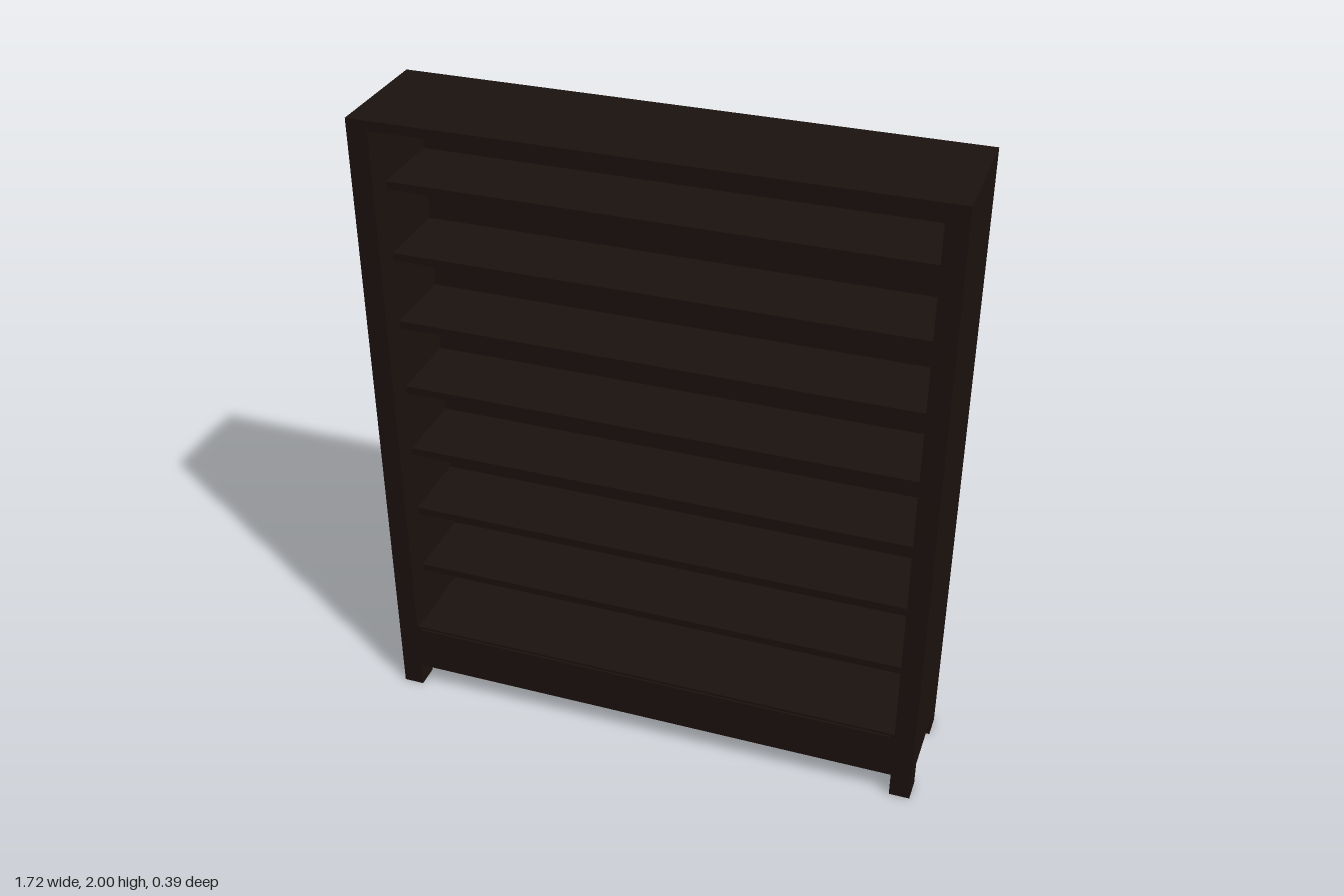
import * as THREE from 'three';

export function createModel() {
  const model = new THREE.Group();
  const cabinet = new THREE.Group();
  cabinet.name = 'shelfCabinet';
  const wood = new THREE.MeshStandardMaterial({ color: 0x1b120e });

  // Box given by its lower and upper limits on each axis
  const box = (name, [x0, x1], [y0, y1], [z0, z1]) => {
    const mesh = new THREE.Mesh(new THREE.BoxGeometry(x1 - x0, y1 - y0, z1 - z0), wood);
    mesh.position.set((x0 + x1) / 2, (y0 + y1) / 2, (z0 + z1) / 2);
    mesh.name = name;
    cabinet.add(mesh);
  };

  const W = 0.857, inner = 0.793, back = -0.191, front = 0.187;
  const base = 0.08, backFace = -0.135;

  // Sides and the four short legs below them
  for (const s of [-1, 1]) {
    const span = s > 0 ? [inner, W] : [-W, -inner];
    const side = s > 0 ? 'left' : 'right';
    box(side + 'Side', span, [base, 2], [back, front]);
    box(side + 'FrontLeg', span, [0, base], [front - 0.073, front]);
    box(side + 'BackLeg', span, [0, base], [back, back + 0.073]);
  }

  // Carcass panels
  box('topPanel', [-inner, inner], [1.97, 2], [back, front]);
  box('backPanel', [-inner, inner], [base, 1.97], [back, backFace]);
  box('base', [-inner, inner], [base, 0.235], [backFace, 0.172]);

  // Plinth board standing slightly proud of the front
  box('plinthRail', [-inner, inner], [base, 0.245], [0.172, front]);
  box('plinthBoard', [-0.78, 0.78], [0.1, 0.237], [front, 0.193]);

  // Seven set-back shelves
  for (let i = 0; i < 7; i++) {
    const top = 0.443 + i * 0.2243;
    box('shelf' + (i + 1), [-inner, inner], [top - 0.024, top], [backFace, 0.11]);
  }

  // The cabinet stands very slightly turned
  cabinet.rotation.y = 0.005;
  model.add(cabinet);
  return model;
}
